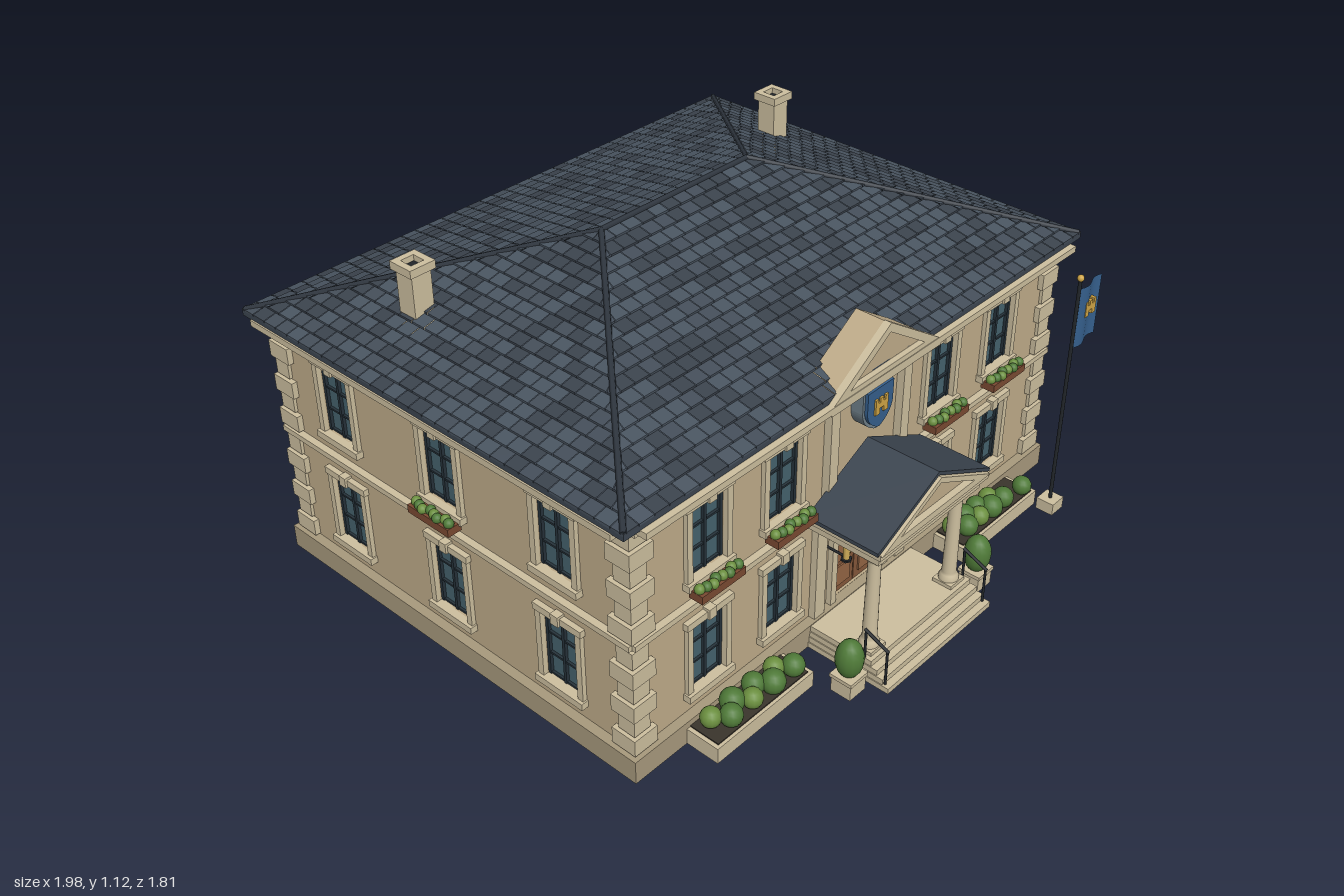
import * as THREE from 'three';

const WALL = 0xbfac8a, TRIM = 0xcdbf9f, PLINTH = 0xa89a7d, GLASS = 0x45626d, DARK = 0x26323a, SLATE = 0x3c4550,
  WOOD = 0x85583a, BOXWOOD = 0x7a4a32, GREEN = 0x4f7a38, LEAF = 0x6b8f3f, BLUE = 0x355f8c, GOLD = 0xd0a545, IRON = 0x22262a;
const CZ = -0.11, HX = 0.92, HZ = 0.7; // house centre in z and half sizes of the walls
const mats = {};
const mat = (c) => mats[c] ??= new THREE.MeshStandardMaterial({ color: c, side: THREE.DoubleSide });

function add(parent, name, geo, color, x = 0, y = 0, z = 0) {
  const m = new THREE.Mesh(geo, mat(color));
  m.name = name;
  m.position.set(x, y, z);
  parent.add(m);
  return m;
}
// box given by its limits
const box = (p, name, c, x0, x1, y0, y1, z0, z1) =>
  add(p, name, new THREE.BoxGeometry(x1 - x0, y1 - y0, z1 - z0), c, (x0 + x1) / 2, (y0 + y1) / 2, (z0 + z1) / 2);
const ball = (p, name, c, r, x, y, z, sy = 1) => {
  const m = add(p, name, new THREE.SphereGeometry(r, 14, 10), c, x, y, z);
  m.scale.y = sy;
};
function rod(p, name, c, a, b, r, sides = 8) {
  const A = new THREE.Vector3(...a), B = new THREE.Vector3(...b), d = B.clone().sub(A);
  const m = add(p, name, new THREE.CylinderGeometry(r, r, d.length(), sides), c);
  m.position.copy(A).add(B).multiplyScalar(0.5);
  m.quaternion.setFromUnitVectors(new THREE.Vector3(0, 1, 0), d.normalize());
}
const poly = (pts) => new THREE.Shape(pts.map(([x, y]) => new THREE.Vector2(x, y)));
const rect = (x0, x1, y0, y1) => poly([[x0, y0], [x1, y0], [x1, y1], [x0, y1]]);
const slab = (shape, depth) => new THREE.ExtrudeGeometry(shape, { depth, bevelEnabled: false });
const group = (parent, name) => {
  const g = new THREE.Group();
  g.name = name;
  parent.add(g);
  return g;
};

// framed window, drawn with the wall surface at z = 0
function windowUnit(p, x, y0) {
  const g = group(p, 'window'), w = 0.065, h = 0.225;
  g.position.set(x, y0, 0);
  box(g, 'glass', GLASS, -w, w, 0, h, -0.022, -0.014);
  for (const s of [-1, 1]) {
    box(g, 'sash', DARK, s * 0.06 - 0.005, s * 0.06 + 0.005, 0, h, -0.014, -0.004);
    box(g, 'jamb', TRIM, s * 0.075 - 0.01, s * 0.075 + 0.01, -0.005, h, -0.012, 0.014);
  }
  box(g, 'mullion', DARK, -0.005, 0.005, 0, h, -0.014, -0.004);
  for (const f of [0.02, 0.34, 0.66, 0.98]) box(g, 'glazingBar', DARK, -w, w, f * h - 0.003, f * h + 0.003, -0.014, -0.006);
  box(g, 'lintel', TRIM, -0.09, 0.09, h, h + 0.022, -0.012, 0.017);
  box(g, 'keystone', TRIM, -0.014, 0.014, h - 0.003, h + 0.03, 0, 0.024);
  box(g, 'sill', TRIM, -0.09, 0.09, -0.022, 0, -0.012, 0.024);
}
function windowBox(p, x) {
  const g = group(p, 'windowBox');
  g.position.set(x, 0.485, 0);
  box(g, 'trough', BOXWOOD, -0.083, 0.083, 0, 0.025, 0.015, 0.062);
  for (let i = 0; i < 8; i++) ball(g, 'plant', i % 2 ? GREEN : LEAF, 0.015, -0.07 + i * 0.02, 0.032, 0.04 + (i % 3) * 0.006);
}
function doubleDoor(p) {
  const g = group(p, 'door');
  for (const s of [-1, 1]) {
    box(g, 'leaf', WOOD, s * 0.056 - 0.054, s * 0.056 + 0.054, 0.075, 0.38, -0.024, -0.008);
    for (const [a, b] of [[0.1, 0.17], [0.19, 0.27], [0.29, 0.36]])
      box(g, 'doorPanel', 0x946544, s * 0.056 - 0.035, s * 0.056 + 0.035, a, b, -0.008, -0.003);
    ball(g, 'knob', GOLD, 0.006, s * 0.012, 0.22, 0);
    box(g, 'doorJamb', TRIM, s * 0.122 - 0.012, s * 0.122 + 0.012, 0.075, 0.38, -0.02, 0.018);
  }
  box(g, 'doorLintel', TRIM, -0.14, 0.14, 0.38, 0.403, -0.02, 0.022);
}

// one facade: pierced wall, openings, plinth, belt course and cornice
function facade(root, name, angle, dist, half, cols, door, side) {
  const g = group(root, name);
  g.rotation.y = angle;
  g.position.set(Math.sin(angle) * dist, 0, CZ + Math.cos(angle) * dist);
  const inner = side ? half - 0.03 : half, wall = rect(-inner, inner, 0.07, 0.835);
  for (const x of cols) for (const y of [0.145, 0.525]) {
    wall.holes.push(rect(x - 0.065, x + 0.065, y, y + 0.225));
    windowUnit(g, x, y);
  }
  if (door) {
    wall.holes.push(rect(-0.11, 0.11, 0.076, 0.38));
    doubleDoor(g);
  }
  add(g, 'wall', slab(wall, 0.03), WALL, 0, 0, -0.03);
  const e = side ? -0.03 : 0.03;
  box(g, 'plinth', PLINTH, -half - e, half + e, 0, 0.075, -0.03, 0.03);
  box(g, 'beltCourse', TRIM, -half - 0.01, half + 0.01, 0.438, 0.456, 0, 0.022);
  box(g, 'frieze', TRIM, -half - 0.01, half + 0.01, 0.802, 0.818, 0, 0.03);
  box(g, 'cornice', TRIM, -half - 0.01, half + 0.01, 0.818, 0.838, 0, 0.07);
  return g;
}

// overlapping slates on one roof slope, clipped along the hips
function slates(root, angle, base, run, eave, ridge, rnd) {
  const shades = [0x3b434d, 0x444e59, 0x4a5561], data = [[], [], []], rows = 17;
  const half = (t) => eave + (ridge - eave) * t;
  for (let r = 0; r < rows; r++) {
    const t0 = r / rows, t1 = (r + 1) / rows, h0 = half(t0), h1 = half(t1);
    const pt = (u, t, lift) => [u, 0.85 + 0.255 * t + lift, base + run * (1 - t)];
    for (let u = -h0 - (r % 2) * 0.026; u < h0; u += 0.052) {
      const cl = (v, h) => Math.max(-h, Math.min(h, v));
      const a = u + 0.001, b = u + 0.051;
      const A = pt(cl(a, h0), t0, 0.008), B = pt(cl(b, h0), t0, 0.008), C = pt(cl(b, h1), t1, 0.002), D = pt(cl(a, h1), t1, 0.002);
      const E = pt(cl(a, h0), t0, 0), F = pt(cl(b, h0), t0, 0);
      data[Math.floor(rnd() * 3)].push(...A, ...B, ...C, ...A, ...C, ...D, ...E, ...F, ...B, ...E, ...B, ...A);
    }
  }
  data.forEach((d, i) => {
    const geo = new THREE.BufferGeometry();
    geo.setAttribute('position', new THREE.Float32BufferAttribute(d, 3));
    geo.computeVertexNormals();
    const m = add(root, 'slates', geo, shades[i], 0, 0, CZ);
    m.rotation.y = angle;
  });
}
function roof(root) {
  const g = group(root, 'roof');
  let seed = 7;
  const rnd = () => (seed = (seed * 16807) % 2147483647) / 2147483647;
  box(g, 'eaves', SLATE, -0.985, 0.985, 0.836, 0.852, CZ - 0.75, CZ + 0.75);
  for (let i = 0; i < 4; i++) {
    const s = i % 2;
    slates(g, i * Math.PI / 2, s ? 0.3 : 0, s ? 0.685 : 0.75, s ? 0.75 : 0.985, s ? 0 : 0.3, rnd);
  }
  for (const x of [-1, 1]) for (const z of [-1, 1])
    rod(g, 'hipCap', 0x2f363f, [x * 0.98, 0.855, CZ + z * 0.745], [x * 0.3, 1.107, CZ], 0.009, 6);
  rod(g, 'ridgeCap', 0x2f363f, [-0.3, 1.107, CZ], [0.3, 1.107, CZ], 0.009, 6);
  for (const x of [-0.74, 0.74]) {
    const c = group(g, 'chimney');
    c.position.set(x, 0, -0.38);
    box(c, 'stack', TRIM, -0.033, 0.033, 0.88, 1.07, -0.033, 0.033);
    const ring = rect(-0.043, 0.043, -0.043, 0.043);
    ring.holes.push(rect(-0.022, 0.022, -0.022, 0.022));
    add(c, 'chimneyCap', slab(ring, 0.025), TRIM, 0, 1.067, 0).rotation.x = -Math.PI / 2;
    box(c, 'flue', IRON, -0.022, 0.022, 1.068, 1.074, -0.022, 0.022);
  }
}

// triangular gable with a raised border
function pediment(p, half, y0, y1, z0, z1, z2) {
  const h = y1 - y0, tri = (k, dy) => poly([[-half * k, dy], [half * k, dy], [0, dy + h * k]]);
  add(p, 'gable', slab(tri(0.98, 0), z1 - z0), WALL, 0, y0, z0);
  const border = tri(1, 0);
  border.holes.push(tri(0.68, 0.022));
  add(p, 'pedimentBorder', slab(border, z2 - z1 + 0.005), TRIM, 0, y0, z1 - 0.005);
}
// plain crenellated tower used as a charge
function tower(p, x, y, z, s, d) {
  const pts = [[-6, 0], [-2, 0], [-2, 4], [2, 4], [2, 0], [6, 0], [6, 11], [3.5, 11], [3.5, 8], [1.5, 8], [1.5, 11], [-1.5, 11], [-1.5, 8], [-3.5, 8], [-3.5, 11], [-6, 11]];
  add(p, 'towerCharge', slab(poly(pts.map(([a, b]) => [a * s, b * s])), d), GOLD, x, y, z);
}

function centrePiece(root) {
  const g = group(root, 'centrePiece');
  for (const s of [-0.16, 0.16]) {
    box(g, 'pilaster', TRIM, s - 0.018, s + 0.018, 0.456, 0.8, 0.59, 0.615);
    box(g, 'pilasterBase', TRIM, s - 0.024, s + 0.024, 0.456, 0.475, 0.59, 0.622);
    box(g, 'pilasterCap', TRIM, s - 0.026, s + 0.026, 0.79, 0.815, 0.59, 0.625);
  }
  box(g, 'pedimentShelf', TRIM, -0.24, 0.24, 0.812, 0.835, 0.59, 0.66);
  pediment(g, 0.24, 0.832, 0.99, 0.54, 0.64, 0.658);
  const shield = (k) => {
    const s = new THREE.Shape();
    s.moveTo(-0.065 * k, 0.065 * k);
    s.lineTo(0.065 * k, 0.065 * k);
    s.lineTo(0.065 * k, -0.01 * k);
    s.quadraticCurveTo(0.06 * k, -0.06 * k, 0, -0.085 * k);
    s.quadraticCurveTo(-0.06 * k, -0.06 * k, -0.065 * k, -0.01 * k);
    return s;
  };
  add(g, 'shieldRim', slab(shield(1), 0.04), 0x6f7f88, 0, 0.725, 0.59);
  add(g, 'shield', slab(shield(0.87), 0.05), BLUE, 0, 0.725, 0.59);
  tower(g, 0, 0.7, 0.64, 0.0045, 0.006);
}

function porch(root) {
  const g = group(root, 'porch');
  for (let i = 0; i < 4; i++) box(g, 'step', TRIM, -0.247 + i * 0.003, 0.247 - i * 0.003, i * 0.018, (i + 1) * 0.018, 0.6, 0.905 - i * 0.023);
  box(g, 'entablature', TRIM, -0.235, 0.235, 0.41, 0.442, 0.59, 0.835);
  box(g, 'entablatureCornice', TRIM, -0.25, 0.25, 0.442, 0.462, 0.59, 0.85);
  pediment(g, 0.25, 0.46, 0.585, 0.6, 0.835, 0.856);
  const skin = poly([[-0.258, 0.46], [0, 0.588], [0.258, 0.46], [0.258, 0.472], [0, 0.6], [-0.258, 0.472]]);
  add(g, 'porchRoof', slab(skin, 0.242), SLATE, 0, 0, 0.605);
  const prof = [[0.03, 0], [0.03, 0.012], [0.025, 0.022], [0.022, 0.03], [0.019, 0.295], [0.023, 0.302], [0.027, 0.315]];
  for (const s of [-1, 1]) {
    const x = s * 0.19;
    add(g, 'column', new THREE.LatheGeometry(prof.map(([r, y]) => new THREE.Vector2(r, y)), 20), TRIM, x, 0.082, 0.79);
    box(g, 'columnFoot', TRIM, x - 0.033, x + 0.033, 0.07, 0.084, 0.757, 0.823);
    box(g, 'columnHead', TRIM, x - 0.032, x + 0.032, 0.396, 0.412, 0.758, 0.822);
    box(g, 'wallPilaster', TRIM, x - 0.022, x + 0.022, 0.07, 0.412, 0.59, 0.612);
    const l = s * 0.165;
    rod(g, 'lanternArm', IRON, [l, 0.312, 0.59], [l, 0.312, 0.675], 0.004);
    add(g, 'lantern', new THREE.CylinderGeometry(0.013, 0.01, 0.05, 6), 0xd8b45c, l, 0.333, 0.677);
    for (const y of [0.306, 0.36]) add(g, 'lanternPlate', new THREE.CylinderGeometry(0.017, 0.017, 0.006, 6), IRON, l, y, 0.677);
    const r = s * 0.235;
    rod(g, 'railPost', IRON, [r, 0.01, 0.885], [r, 0.135, 0.885], 0.004);
    rod(g, 'railPost', IRON, [r, 0.07, 0.81], [r, 0.172, 0.81], 0.004);
    rod(g, 'handrail', IRON, [r, 0.135, 0.89], [r, 0.172, 0.805], 0.005);
  }
}

function garden(root) {
  const g = group(root, 'garden');
  for (const s of [-1, 1]) {
    const x = s * 0.305, c = s * 0.557;
    box(g, 'topiaryPot', TRIM, x - 0.034, x + 0.034, 0, 0.055, 0.776, 0.844);
    box(g, 'potRim', TRIM, x - 0.038, x + 0.038, 0.05, 0.062, 0.772, 0.848);
    ball(g, 'topiary', GREEN, 0.042, x, 0.115, 0.81, 1.5);
    box(g, 'planter', TRIM, c - 0.198, c + 0.198, 0, 0.052, 0.6, 0.73);
    box(g, 'soil', 0x3a342c, c - 0.185, c + 0.185, 0.05, 0.056, 0.62, 0.72);
    for (let i = 0; i < 8; i++)
      ball(g, 'shrub', i % 3 ? GREEN : LEAF, 0.031 + (i % 3) * 0.003, s < 0 ? -0.7 + i * 0.043 : 0.4 + i * 0.032, 0.08, i % 2 ? 0.69 : 0.655);
    if (s > 0) ball(g, 'shrub', GREEN, 0.031, 0.715, 0.08, 0.7);
  }
}

function flagpole(root) {
  const g = group(root, 'flagpole');
  g.position.set(0.77, 0, 0.775);
  box(g, 'poleBase', TRIM, -0.03, 0.03, 0, 0.04, -0.03, 0.03);
  rod(g, 'pole', IRON, [0, 0.03, 0], [0, 0.835, 0], 0.006);
  ball(g, 'finial', GOLD, 0.011, 0, 0.84, 0);
  const cloth = new THREE.PlaneGeometry(0.122, 0.205, 16, 1), p = cloth.attributes.position;
  for (let i = 0; i < p.count; i++) p.setZ(i, 0.008 * Math.sin((p.getX(i) + 0.061) * 50));
  cloth.computeVertexNormals();
  add(g, 'flag', cloth, BLUE, 0.068, 0.698, 0);
  tower(g, 0.068, 0.69, -0.01, 0.0045, 0.02);
}

export function createModel() {
  const root = new THREE.Group();
  root.name = 'civicBuilding';
  const cols = [-0.645, -0.35, 0.35, 0.645], sideCols = [-0.44, 0, 0.44];
  const front = facade(root, 'frontFacade', 0, HZ, HX, cols, true, false);
  facade(root, 'backFacade', Math.PI, HZ, HX, cols, true, false);
  cols.forEach((x) => windowBox(front, x));
  for (const s of [-1, 1])
    windowBox(facade(root, s > 0 ? 'leftFacade' : 'rightFacade', s * Math.PI / 2, HX, HZ, sideCols, false, true), 0);
  // alternating corner stones on both floors
  for (const sx of [-1, 1]) for (const sz of [-1, 1]) for (const y0 of [0.078, 0.46]) for (let i = 0; i < 6; i++) {
    const k = i % 2, w = k ? 0.058 : 0.084, o = k ? 0.01 : 0.018;
    add(root, 'quoin', new THREE.BoxGeometry(w, 0.053, w), TRIM, sx * (HX + o - w / 2), y0 + 0.028 + i * 0.058, CZ + sz * (HZ + o - w / 2));
  }
  box(root, 'backStep', TRIM, -0.15, 0.15, 0, 0.036, -0.905, -0.82);
  box(root, 'backStep', TRIM, -0.15, 0.15, 0.036, 0.072, -0.87, -0.82);
  roof(root);
  centrePiece(root);
  porch(root);
  garden(root);
  flagpole(root);
  return root;
}
